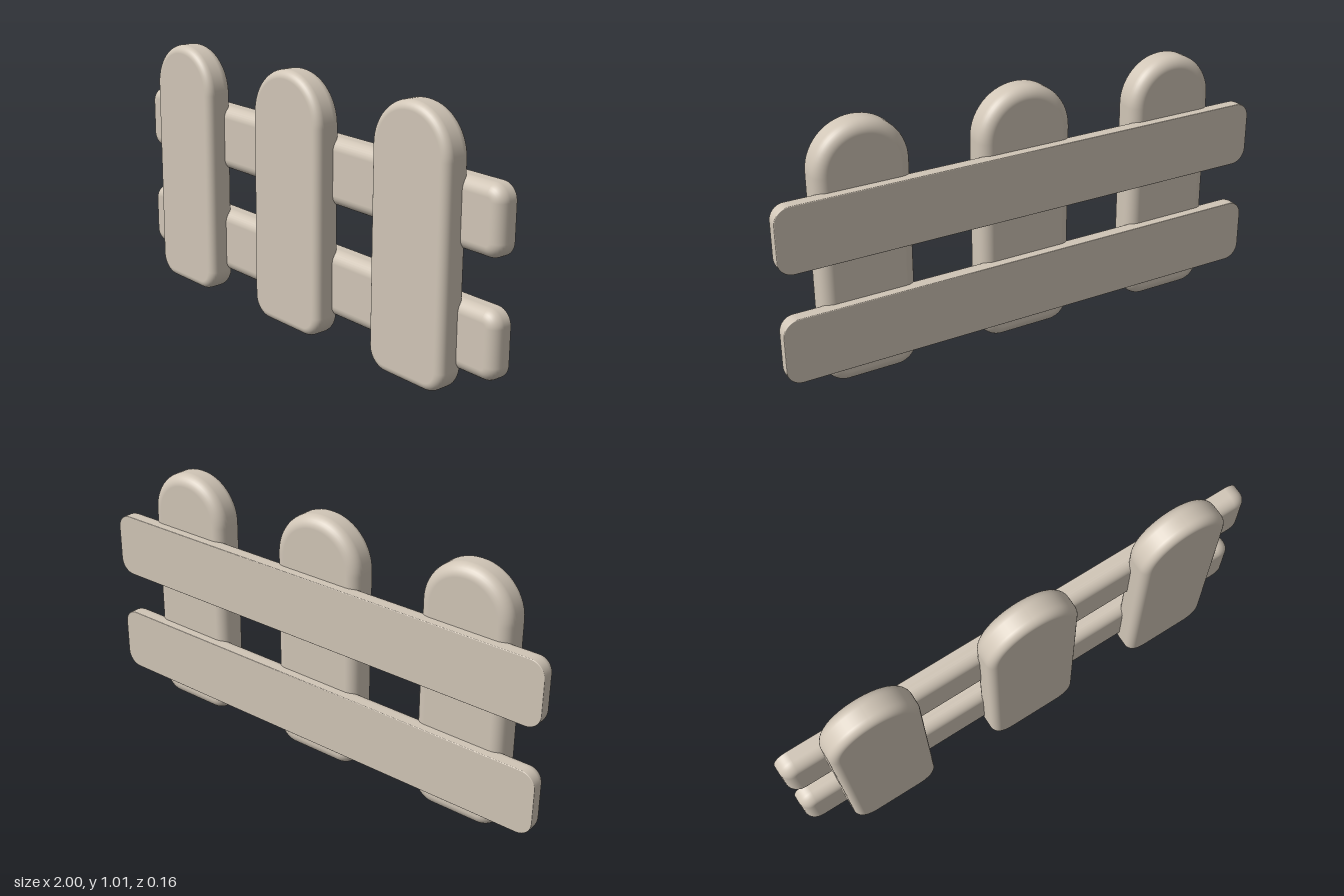
import * as THREE from 'three';

const HALF_PI = Math.PI / 2;

// Convex plank: the outline is a list of corner arcs, its edges rounded at front and back.
function plankGeometry(arcs, zBack, zFront, backRound, frontRound) {
  const outline = [];
  for (const { x, y, r, from } of arcs) {
    const steps = 14;
    for (let i = 0; i <= steps; i++) {
      const a = from + (HALF_PI * i) / steps;
      outline.push({ x, y, r, dx: Math.cos(a), dy: Math.sin(a) });
    }
  }

  // Rings from the back face round to the front face
  const rings = [];
  const seg = 8;
  for (let i = 0; i <= seg; i++) {
    const t = -HALF_PI + (HALF_PI * i) / seg;
    rings.push({ t, round: backRound, z: zBack + backRound * (1 + Math.sin(t)) });
  }
  for (let i = 0; i <= seg; i++) {
    const t = (HALF_PI * i) / seg;
    rings.push({ t, round: frontRound, z: zFront - frontRound * (1 - Math.sin(t)) });
  }

  const position = [], normal = [], index = [];
  const n = outline.length;
  for (const { t, round, z } of rings) {
    const c = Math.cos(t);
    for (const p of outline) {
      const r = p.r - round * (1 - c);
      position.push(p.x + p.dx * r, p.y + p.dy * r, z);
      normal.push(p.dx * c, p.dy * c, Math.sin(t));
    }
  }
  for (let i = 0; i < rings.length - 1; i++) {
    for (let j = 0; j < n; j++) {
      const k = (j + 1) % n;
      const a = i * n + j, b = i * n + k, c = (i + 1) * n + k, d = (i + 1) * n + j;
      index.push(a, b, c, a, c, d);
    }
  }

  // Flat back and front faces
  const cx = arcs.reduce((s, p) => s + p.x, 0) / arcs.length;
  const cy = arcs.reduce((s, p) => s + p.y, 0) / arcs.length;
  const back = rings.length * n, front = back + 1, last = (rings.length - 1) * n;
  position.push(cx, cy, zBack, cx, cy, zFront);
  normal.push(0, 0, -1, 0, 0, 1);
  for (let j = 0; j < n; j++) {
    const k = (j + 1) % n;
    index.push(back, k, j, front, last + j, last + k);
  }

  const g = new THREE.BufferGeometry();
  g.setAttribute('position', new THREE.Float32BufferAttribute(position, 3));
  g.setAttribute('normal', new THREE.Float32BufferAttribute(normal, 3));
  g.setIndex(index);
  return g;
}

// Four corner arcs, counter-clockwise from the top right
function cornerArcs(halfWidth, y0, y1, topR, bottomR) {
  const xt = halfWidth - topR, xb = halfWidth - bottomR;
  return [
    { x: xt, y: y1 - topR, r: topR, from: 0 },
    { x: -xt, y: y1 - topR, r: topR, from: HALF_PI },
    { x: -xb, y: y0 + bottomR, r: bottomR, from: Math.PI },
    { x: xb, y: y0 + bottomR, r: bottomR, from: 3 * HALF_PI },
  ];
}

export function createModel() {
  const group = new THREE.Group();
  group.name = 'picketFence';
  const paleWood = new THREE.MeshStandardMaterial({ color: 0xd0c5b6 });
  paleWood.name = 'paleWood';

  const add = (name, geometry, x) => {
    const mesh = new THREE.Mesh(geometry, paleWood);
    mesh.name = name;
    mesh.position.x = x;
    group.add(mesh);
  };

  // Round-topped pickets
  const pickets = [
    ['rightPicket', -0.652, 0.183],
    ['middlePicket', -0.002, 0.192],
    ['leftPicket', 0.648, 0.183],
  ];
  for (const [name, x, half] of pickets) {
    const arcs = cornerArcs(half, 0.002, 1.01, half - 0.002, 0.085);
    add(name, plankGeometry(arcs, -0.042, 0.078, 0.045, 0.032), x);
  }

  // Flat-backed cross rails
  for (const [name, y0, y1] of [['lowerRail', 0.083, 0.342], ['upperRail', 0.519, 0.777]]) {
    add(name, plankGeometry(cornerArcs(1, y0, y1, 0.06, 0.06), -0.077, 0.003, 0.003, 0.045), 0);
  }
  return group;
}
